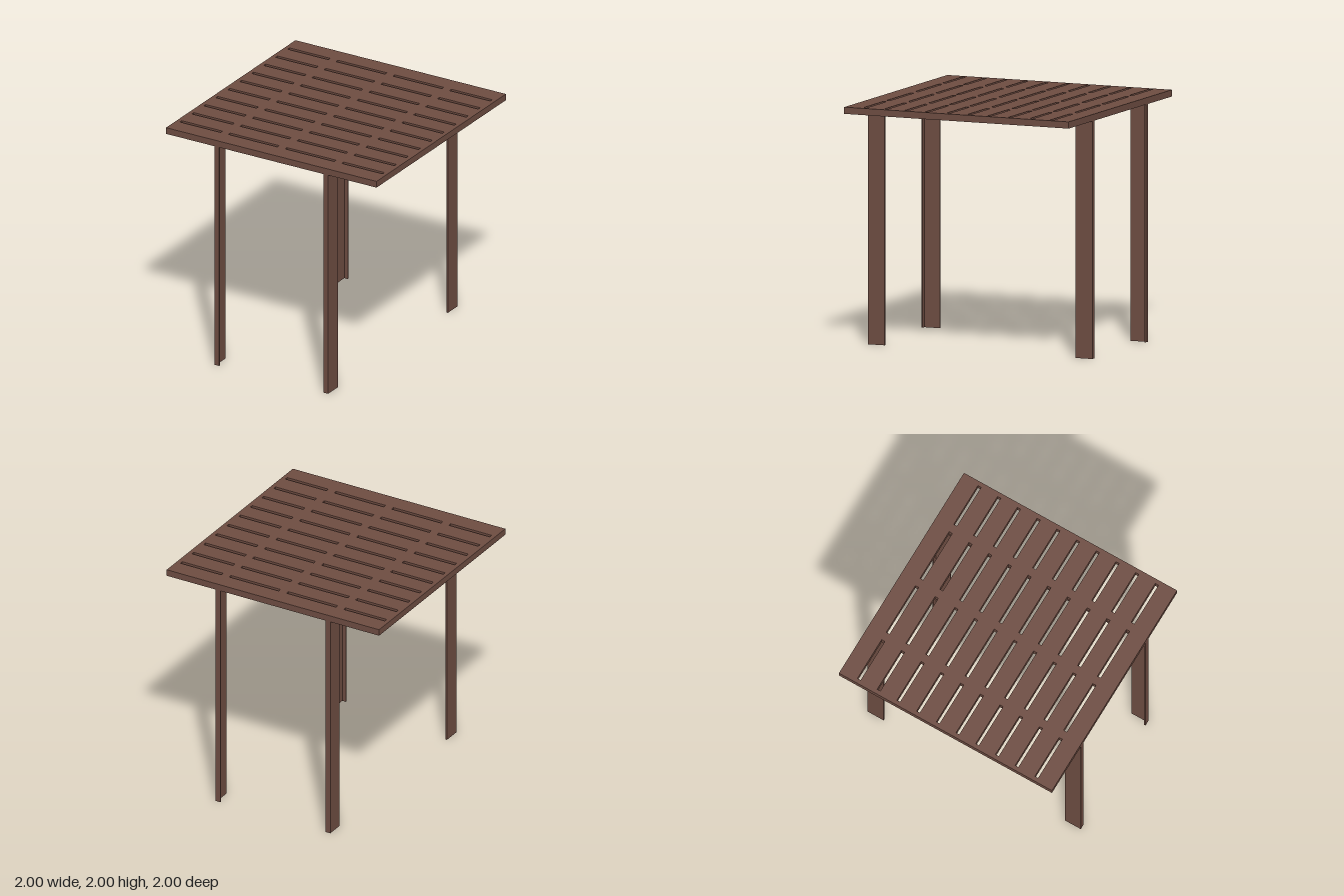
import * as THREE from 'three';

export function createModel() {
  const brown = new THREE.MeshStandardMaterial({ color: 0x6d4c41 });
  brown.name = 'brown';
  const model = new THREE.Group();
  model.name = 'slottedTable';

  const TOP = 2, UNDERSIDE = 1.945;
  const OUTER = 0.54, INNER = 0.495; // leg faces in x
  const SHEET = 0.012;

  function rectangle(path, x0, y0, x1, y1) {
    path.moveTo(x0, y0);
    path.lineTo(x1, y0);
    path.lineTo(x1, y1);
    path.lineTo(x0, y1);
    path.closePath();
    return path;
  }

  // Square top with ten rows of four slots
  const outline = rectangle(new THREE.Shape(), -1, -1, 1, 1);
  const columns = [[-0.963, -0.576], [-0.503, -0.037], [0.037, 0.503], [0.576, 0.963]];
  for (let row = 0; row < 10; row++) {
    const z = (row - 4.5) * 0.185;
    for (const [x0, x1] of columns) {
      outline.holes.push(rectangle(new THREE.Path(), x0, z - 0.015, x1, z + 0.015));
    }
  }
  const slab = new THREE.ExtrudeGeometry(outline, { depth: TOP - UNDERSIDE, bevelEnabled: false });
  slab.rotateX(-Math.PI / 2);
  const top = new THREE.Mesh(slab, brown);
  top.name = 'slottedTop';
  top.position.y = UNDERSIDE;
  model.add(top);

  function box(name, w, h, d, x, y, z, parent) {
    const mesh = new THREE.Mesh(new THREE.BoxGeometry(w, h, d), brown);
    mesh.name = name;
    mesh.position.set(x, y, z);
    parent.add(mesh);
  }

  for (const sx of [-1, 1]) {
    // Angle-section legs: wide plate outside, narrow flange at the table end
    for (const sz of [-1, 1]) {
      const leg = new THREE.Group();
      leg.name = (sz > 0 ? 'front' : 'back') + (sx > 0 ? 'Left' : 'Right') + 'Leg';
      box('legPlate', SHEET, UNDERSIDE, 0.15,
        sx * (OUTER - SHEET / 2), UNDERSIDE / 2, sz * 0.925, leg);
      box('legFlange', OUTER - INNER - SHEET, UNDERSIDE, SHEET,
        sx * (OUTER - SHEET + INNER) / 2, UNDERSIDE / 2, sz * (1 - SHEET / 2), leg);
      model.add(leg);
    }
    // Thin mounting strip joining each pair of legs
    box('mountingStrip', 0.045, 0.006, 2, sx * (OUTER + INNER) / 2, UNDERSIDE - 0.003, 0, model);
  }
  return model;
}
